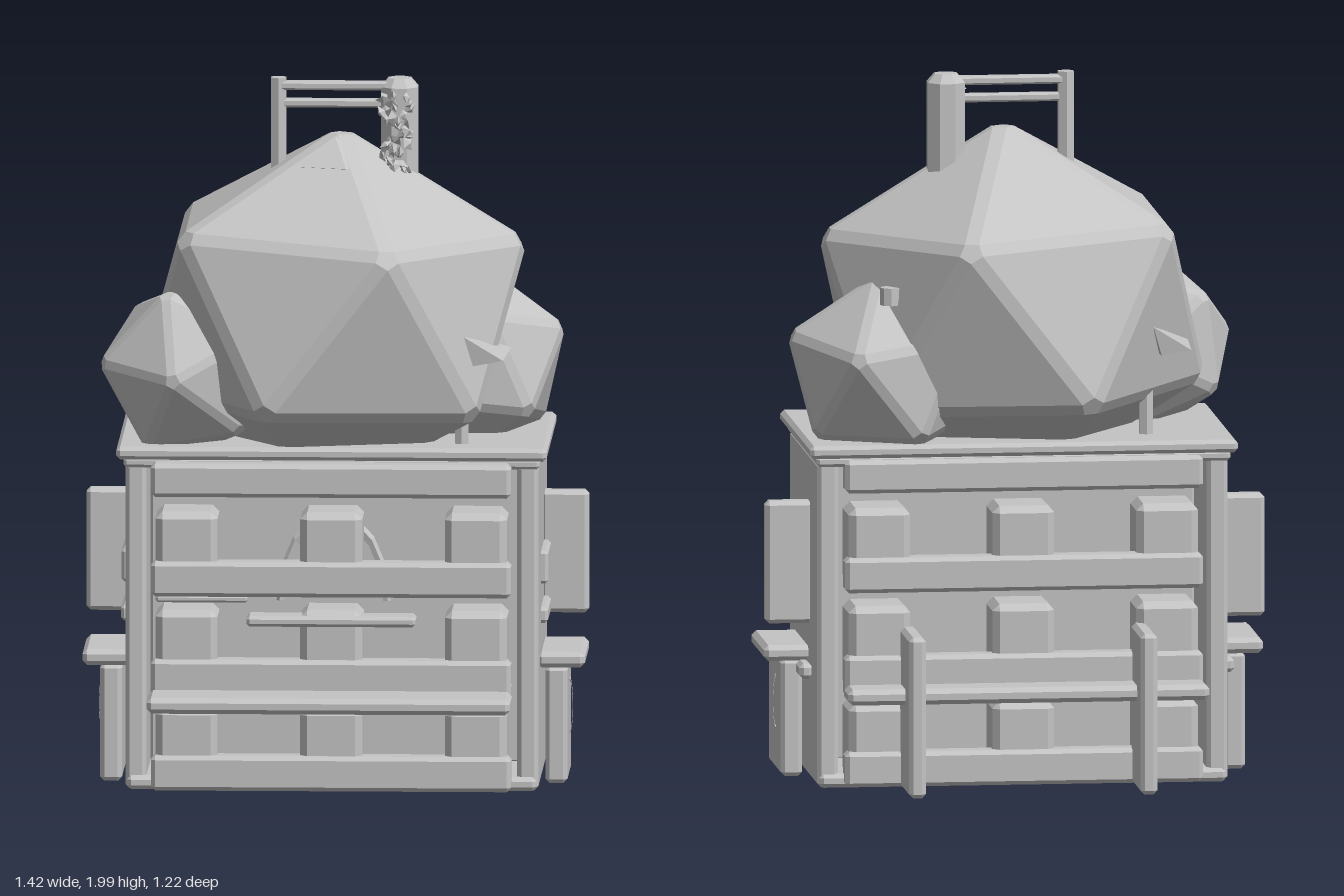
import * as THREE from 'three';
import { ConvexGeometry } from 'three/addons/geometries/ConvexGeometry.js';

const V = (x, y, z) => new THREE.Vector3(x, y, z);

export function createModel() {
  const model = new THREE.Group();
  const grey = new THREE.MeshStandardMaterial({ color: 0xc4c4c4, flatShading: true });
  grey.name = 'grey';

  function add(name, geometry, parent = model) {
    const mesh = new THREE.Mesh(geometry, grey);
    mesh.name = name;
    parent.add(mesh);
    return mesh;
  }
  // Box with chamfered edges, given by its extents
  function board(name, x0, x1, y0, y1, z0, z1, bevel = 0.012) {
    const h = [(x1 - x0) / 2, (y1 - y0) / 2, (z1 - z0) / 2];
    const b = Math.min(bevel, ...h.map((v) => v * 0.6));
    const pts = [];
    for (const sx of [-1, 1]) for (const sy of [-1, 1]) for (const sz of [-1, 1]) {
      for (let k = 0; k < 3; k++) {
        const d = h.map((v, i) => (i === k ? v : v - b));
        pts.push(V(sx * d[0], sy * d[1], sz * d[2]));
      }
    }
    const mesh = add(name, new ConvexGeometry(pts));
    mesh.position.set((x0 + x1) / 2, (y0 + y1) / 2, (z0 + z1) / 2);
  }
  // Bevelled icosahedron: one corner points along axis, a side corner leans
  // towards the given direction, and every face is inset
  function blob(name, center, size, axis, towards, inset) {
    const p = new THREE.IcosahedronGeometry(1).attributes.position;
    const corner = (i) => V(0, 0, 0).fromBufferAttribute(p, i);
    const dir = axis.clone().normalize();
    const q = new THREE.Quaternion().setFromUnitVectors(corner(0).normalize(), dir);
    const a = corner(1).applyQuaternion(q).projectOnPlane(dir);
    const b = towards.clone().projectOnPlane(dir);
    const roll = Math.atan2(a.clone().cross(b).dot(dir), a.dot(b));
    q.premultiply(new THREE.Quaternion().setFromAxisAngle(dir, roll));
    const pts = [];
    for (let i = 0; i < p.count; i += 3) {
      const face = [0, 1, 2].map((k) => corner(i + k).applyQuaternion(q).multiply(size));
      const mid = face[0].clone().add(face[1]).add(face[2]).divideScalar(3);
      face.forEach((v) => pts.push(v.lerp(mid, inset)));
    }
    add(name, new ConvexGeometry(pts)).position.copy(center);
  }

  // Crate body
  board('floor', -0.58, 0.58, 0.01, 0.05, -0.37, 0.34);
  board('divider', -0.53, 0.53, 0.04, 0.95, -0.05, 0.01);
  board('roof', -0.61, 0.61, 0.955, 0.992, -0.4, 0.355, 0.015);
  board('roofTrim', -0.59, 0.59, 0.93, 0.96, -0.385, 0.335);
  for (const s of [-1, 1]) {
    board('sideWall', s > 0 ? 0.525 : -0.585, s > 0 ? 0.585 : -0.525, 0.01, 0.94, -0.36, 0.325);
  }

  // Slats and spacer blocks on the front and back
  for (const front of [true, false]) {
    const zs = (a, b) => (front ? [a, b] : [-b - 0.005, -a - 0.005]);
    for (const [y0, y1] of [[0.015, 0.115], [0.27, 0.39], [0.57, 0.67], [0.855, 0.95]]) {
      board('slat', -0.51, 0.51, y0, y1, ...zs(0.325, 0.4));
    }
    for (const x of [-0.41, 0, 0.41]) {
      for (const [y0, y1] of [[0.03, 0.25], [0.28, 0.53], [0.58, 0.81]]) {
        board('spacerBlock', x - 0.088, x + 0.088, y0, y1, ...zs(0.2, 0.385), 0.02);
      }
    }
  }

  // Counter in front, shelf and upright boards behind
  board('frontCounter', -0.515, 0.515, 0.265, 0.31, 0.425, 0.61, 0.015);
  board('backShelf', -0.515, 0.515, 0.265, 0.31, -0.52, -0.4, 0.015);
  for (const x of [-0.332, 0.328]) {
    board('backUpright', x - 0.024, x + 0.024, 0.01, 0.47, -0.612, -0.36);
  }

  // Items inside the crate
  board('innerLedge', -0.24, 0.24, 0.485, 0.515, 0.3, 0.395);
  board('innerShelf', -0.5, 0.5, 0.255, 0.275, 0.01, 0.3);
  board('sideLedge', -0.5, -0.24, 0.54, 0.56, 0.1, 0.3);
  const arch = add('innerArch', new THREE.TorusGeometry(0.15, 0.012, 5, 8, Math.PI));
  arch.scale.set(1, 1.6, 1);
  arch.position.set(0, 0.53, 0.17);

  // Cabinets and racks on both side walls
  for (const s of [-1, 1]) {
    const side = (name, x0, x1, ...r) => board(name, s > 0 ? x0 : -x1, s > 0 ? x1 : -x0, ...r);
    side('sideCounter', 0.575, 0.712, 0.342, 0.387, -0.14, 0.187, 0.015);
    side('sideDoor', 0.6, 0.662, 0.01, 0.345, -0.125, 0.18);
    side('sideBracket', 0.58, 0.62, 0.3, 0.345, -0.22, -0.12);
    side('rackPanel', 0.575, 0.712, 0.455, 0.805, -0.178, -0.122);
    side('rackShelf', 0.575, 0.605, 0.57, 0.665, -0.125, 0.105);
    side('rackLowerShelf', 0.575, 0.605, 0.46, 0.505, -0.125, 0.12);
    const handle = add('doorHandle', new THREE.TorusGeometry(0.075, 0.006, 5, 8, Math.PI));
    handle.rotation.z = -s * Math.PI / 2;
    handle.scale.y = 0.12;
    handle.position.set(s * 0.662, 0.21, 0);
  }

  // Foliage
  blob('largeFoliage', V(-0.01, 1.33, 0), V(0.605, 0.537, 0.62), V(0.05, 1, 0), V(1, 0, 0), 0.12);
  blob('frontFoliage', V(-0.41, 1.19, 0.17), V(0.27, 0.27, 0.28), V(-0.15, 0, 1), V(-0.2, 1, 0), 0.17);
  blob('sideFoliage', V(0.365, 1.17, -0.14), V(0.305, 0.295, 0.35), V(1, 0.4, 0), V(0, 1, -0.2), 0.17);
  const knob = add('foliageKnob', new THREE.CylinderGeometry(0.03, 0.03, 0.05, 8));
  knob.position.set(0.37, 1.405, -0.3);

  // Pointed fins with thin stems, on opposite corners
  for (const turn of [0, Math.PI]) {
    const g = new THREE.Group();
    g.name = 'cornerFin';
    g.rotation.y = turn;
    add('fin', new ConvexGeometry([
      V(0.375, 1.31, 0.345), V(0.485, 1.24, 0.325), V(0.4, 1.225, 0.33),
      V(0.5, 1.245, 0.08), V(0.4, 1.29, 0.2), V(0.4, 1.22, 0.2),
    ]), g);
    const stem = add('stem', new THREE.CylinderGeometry(0.022, 0.022, 0.2, 6), g);
    stem.position.set(0.365, 1.08, 0.24);
    model.add(g);
  }
  add('crownPeak', new ConvexGeometry([
    V(0, 1.84, 0.055), V(-0.1, 1.765, 0.14), V(0.035, 1.765, 0.18),
    V(0.11, 1.77, 0.07), V(0, 1.74, 0.05),
  ]));

  // Gate on top
  const thick = add('thickPost', new THREE.CylinderGeometry(0.057, 0.057, 0.255, 8));
  thick.position.set(0.18, 1.8475, -0.018);
  thick.rotation.y = Math.PI / 8;
  const cap = add('postCap', new THREE.CylinderGeometry(0.035, 0.057, 0.025, 8));
  cap.position.set(0.18, 1.9875, -0.018);
  cap.rotation.y = Math.PI / 8;
  const thin = add('thinPost', new THREE.CylinderGeometry(0.025, 0.025, 0.28, 6));
  thin.position.set(-0.163, 1.86, -0.012);
  board('upperRail', -0.17, 0.17, 1.965, 1.99, -0.03, 0.008, 0.006);
  board('lowerRail', -0.16, 0.16, 1.915, 1.94, -0.026, 0.004, 0.006);

  // Leafy vine clinging to the thick post
  let seed = 7;
  const rnd = () => (seed = (seed * 16807) % 2147483647) / 2147483647;
  for (let i = 0; i < 45; i++) {
    const leaf = add('vineLeaf', new THREE.OctahedronGeometry(0.014 + rnd() * 0.01));
    leaf.position.set(0.13 + rnd() * 0.085, 1.745 + (i / 45) * 0.22, 0.035 + rnd() * 0.045);
    leaf.rotation.set(rnd() * 3, rnd() * 3, rnd() * 3);
    leaf.scale.z = 0.5;
  }
  return model;
}
